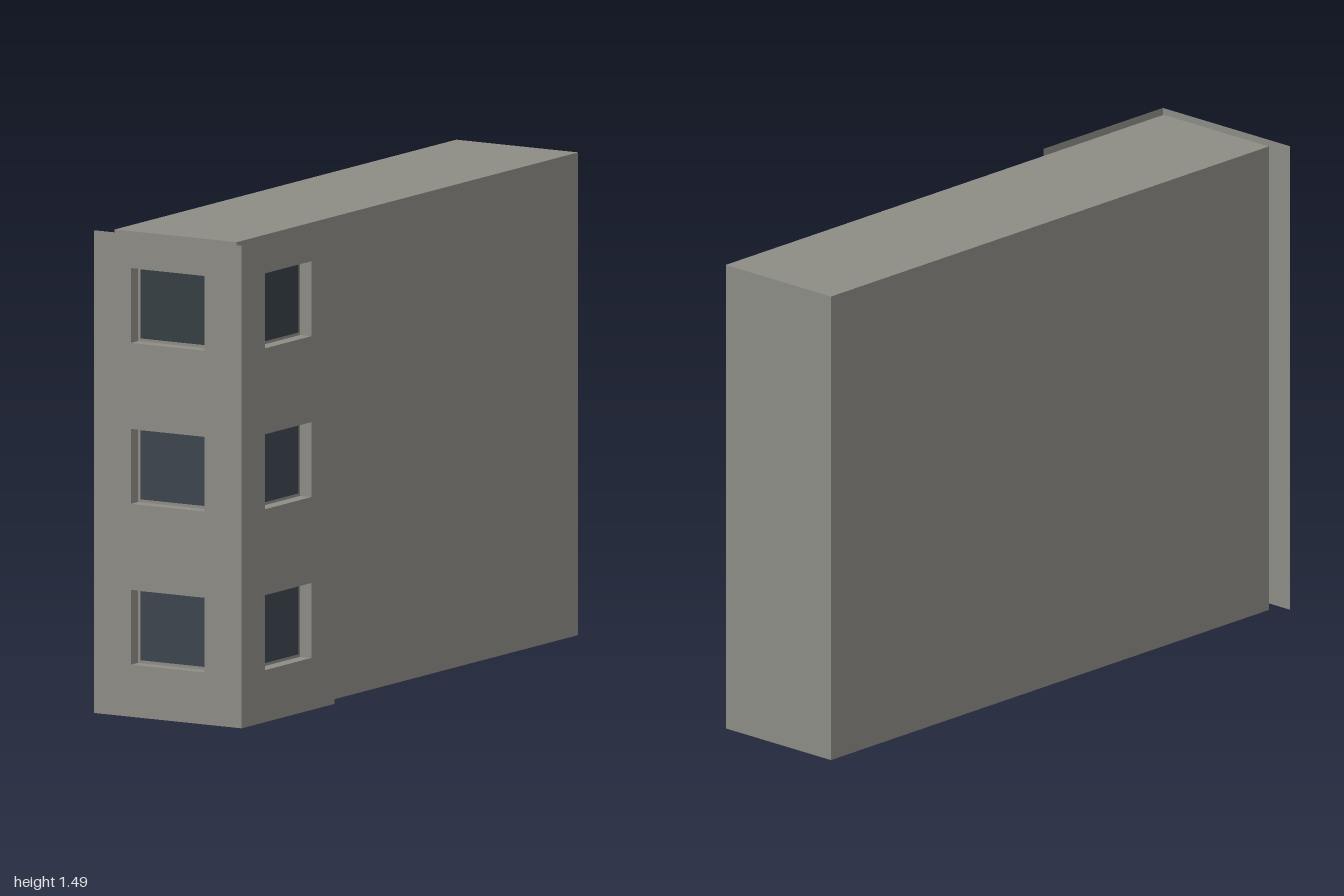
import * as THREE from 'three';

const H = 1.494, PANEL_W = 0.533, FLOOR = H / 3;
const WIN_W = 0.266, WIN_H = 0.232, WIN_Y = 0.277, DEPTH = 0.041, RIM = 0.009;

const wallMat = new THREE.MeshStandardMaterial({ color: 0x8c8b84, side: THREE.DoubleSide });
const glassMat = new THREE.MeshStandardMaterial({ color: 0x3b444c, side: THREE.DoubleSide });
const topGlassMat = new THREE.MeshStandardMaterial({ color: 0x343e43, side: THREE.DoubleSide });

function add(parent, name, geometry, material, x = 0, y = 0, z = 0) {
  const mesh = new THREE.Mesh(geometry, material);
  mesh.name = name;
  mesh.position.set(x, y, z);
  parent.add(mesh);
  return mesh;
}

// Rectangle centred on (x, y), as a shape or a hole
function rect(Type, w, h, x = 0, y = 0) {
  return new Type([[-1, -1], [1, -1], [1, 1], [-1, 1]].map(
    ([sx, sy]) => new THREE.Vector2(x + sx * w / 2, y + sy * h / 2)));
}

// Recessed window: four reveals, a thin rim and the pane
function makeWindow(paneMat) {
  const win = new THREE.Group();
  win.name = 'window';
  for (const s of [-1, 1]) {
    const side = add(win, 'sideReveal', new THREE.PlaneGeometry(DEPTH, WIN_H), wallMat, s * WIN_W / 2, 0, -DEPTH / 2);
    side.rotation.y = -s * Math.PI / 2;
    const sill = add(win, s < 0 ? 'sill' : 'lintel', new THREE.PlaneGeometry(WIN_W, DEPTH), wallMat, 0, s * WIN_H / 2, -DEPTH / 2);
    sill.rotation.x = s * Math.PI / 2;
  }
  const paneW = WIN_W - 2 * RIM, paneH = WIN_H - 2 * RIM;
  const rim = rect(THREE.Shape, WIN_W, WIN_H);
  rim.holes.push(rect(THREE.Path, paneW, paneH));
  add(win, 'windowRim', new THREE.ShapeGeometry(rim), wallMat, 0, 0, -DEPTH);
  add(win, 'pane', new THREE.PlaneGeometry(paneW, paneH), paneMat, 0, 0, -DEPTH);
  return win;
}

// Thin facade sheet with one window per floor, facing +z
function makeFacade(name) {
  const facade = new THREE.Group();
  facade.name = name;
  const sheet = rect(THREE.Shape, PANEL_W, H, 0, H / 2);
  for (let i = 0; i < 3; i++) {
    const y = WIN_Y + i * FLOOR;
    sheet.holes.push(rect(THREE.Path, WIN_W, WIN_H, 0, y));
    const win = makeWindow(i === 2 ? topGlassMat : glassMat);
    win.position.y = y;
    facade.add(win);
  }
  add(facade, 'facadeSheet', new THREE.ShapeGeometry(sheet), wallMat);
  return facade;
}

export function createModel() {
  const model = new THREE.Group();
  model.name = 'building';

  // Main block
  add(model, 'buildingBlock', new THREE.BoxGeometry(0.44, H, 1.954), wallMat, 0, H / 2, -0.023);

  // Facades meeting at the front left corner
  const front = makeFacade('frontFacade');
  front.position.z = 1;
  const side = makeFacade('sideFacade');
  side.rotation.y = Math.PI / 2;
  side.position.set(PANEL_W / 2, 0, 1 - PANEL_W / 2);
  model.add(front, side);

  return model;
}
